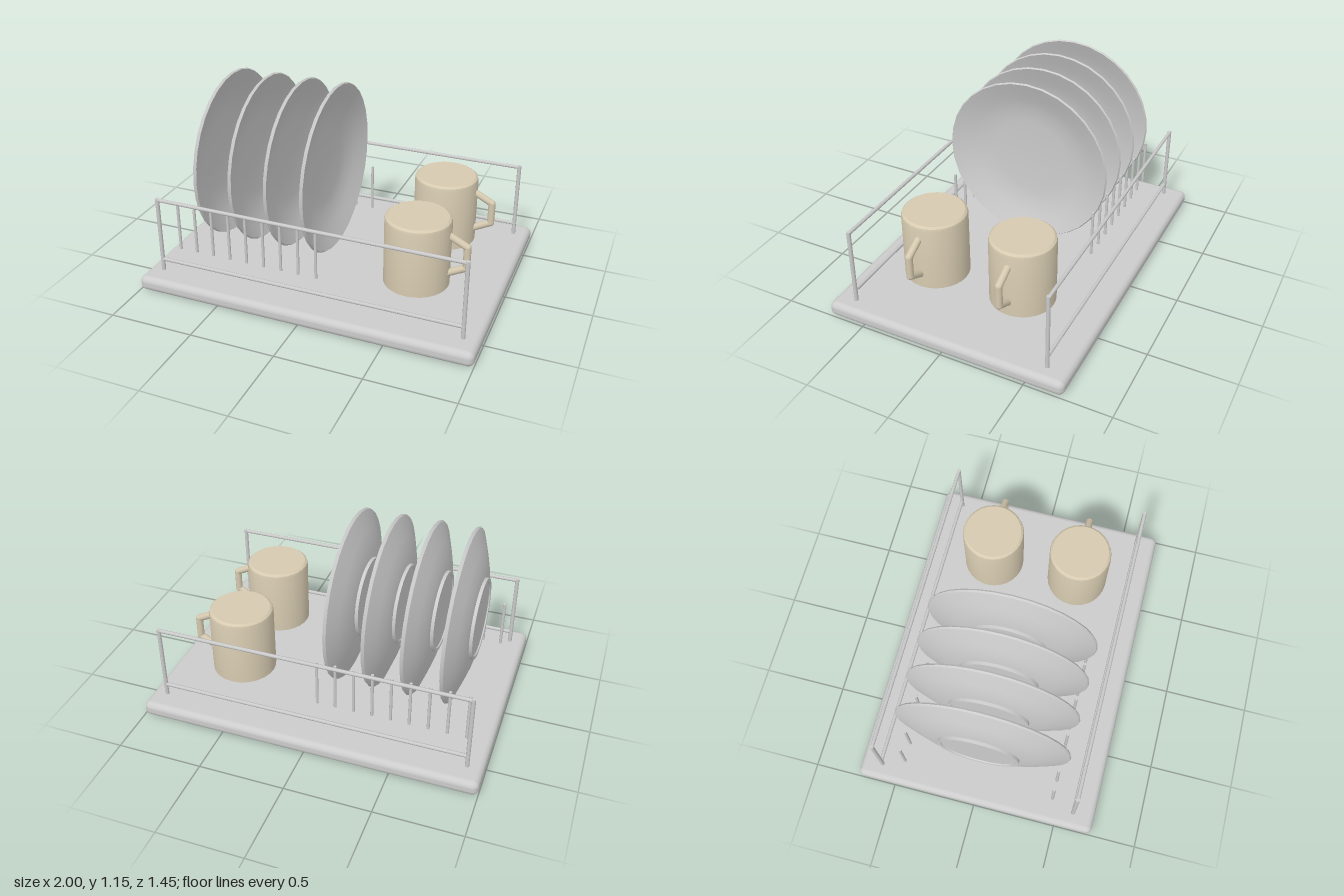
import * as THREE from 'three';
import { toCreasedNormals } from 'three/addons/utils/BufferGeometryUtils.js';
import { RoundedBoxGeometry } from 'three/addons/geometries/RoundedBoxGeometry.js';

const grey = new THREE.MeshStandardMaterial({ color: 0xcccccc });
const cream = new THREE.MeshStandardMaterial({ color: 0xd6cab0 });

function add(parent, name, geometry, material, x = 0, y = 0, z = 0) {
  const mesh = new THREE.Mesh(geometry, material);
  mesh.name = name;
  mesh.position.set(x, y, z);
  parent.add(mesh);
  return mesh;
}

// Straight round wire between two points
function rod(parent, name, from, to, radius, material, sides = 8) {
  const a = new THREE.Vector3(...from), b = new THREE.Vector3(...to);
  const dir = b.clone().sub(a);
  const mesh = add(parent, name, new THREE.CylinderGeometry(radius, radius, dir.length(), sides), material);
  mesh.position.copy(a).add(b).multiplyScalar(0.5);
  mesh.quaternion.setFromUnitVectors(new THREE.Vector3(0, 1, 0), dir.normalize());
  return mesh;
}

function lathe(profile, segments) {
  const points = profile.map(([r, y]) => new THREE.Vector2(r, y));
  return toCreasedNormals(new THREE.LatheGeometry(points, segments), 0.45);
}

// Plate profile: foot, outer curve, rim, then the hollow inside
const plateGeometry = lathe([
  [0, 0.008], [0.21, 0.008], [0.215, 0], [0.232, 0], [0.234, 0.018],
  [0.315, 0.027], [0.395, 0.053], [0.5, 0.092], [0.506, 0.102], [0.5, 0.112],
  [0.44, 0.088], [0.385, 0.067], [0.31, 0.044], [0.23, 0.036], [0, 0.034],
], 32);

// Upside-down mug profile: inside, lip, outer wall, bevelled base
const mugGeometry = lathe([
  [0, 0.38], [0.165, 0.38], [0.167, 0], [0.187, 0], [0.187, 0.385],
  [0.183, 0.4], [0.17, 0.41], [0, 0.41],
], 28);

function createMug(z) {
  const mug = new THREE.Group();
  mug.name = 'mug';
  add(mug, 'mugBody', mugGeometry, cream);
  const path = [[0.17, 0.325, 0], [0.282, 0.268, 0], [0.282, 0.14, 0], [0.17, 0.082, 0]];
  for (let i = 0; i < 3; i++) rod(mug, 'mugHandle', path[i], path[i + 1], 0.021, cream, 10);
  for (const p of path.slice(1, 3)) add(mug, 'handleCorner', new THREE.SphereGeometry(0.021, 10, 8), cream, ...p);
  mug.position.set(0.543, 0.175, z);
  return mug;
}

export function createModel() {
  const model = new THREE.Group();
  model.name = 'dishRack';

  // Drip tray
  add(model, 'tray', new RoundedBoxGeometry(2, 0.09, 1.45, 4, 0.036), grey, 0, 0.045, 0);

  for (const side of [1, -1]) {
    // Side frame of two posts and two rails
    const frame = new THREE.Group();
    frame.name = side > 0 ? 'frontFrame' : 'backFrame';
    model.add(frame);
    const z = side * 0.595;
    for (const x of [-0.908, 0.908]) rod(frame, 'post', [x, 0.085, z], [x, 0.56, z], 0.012, grey);
    for (const y of [0.162, 0.55]) rod(frame, 'rail', [-0.917, y, z], [0.917, y, z], 0.011, grey);

    // Row of upright prongs between the plates
    for (let i = 0; i < 9; i++) {
      const x = -0.868 + i * 0.1095;
      rod(frame, 'prong', [x, 0.163, side * 0.456], [x, 0.455, side * 0.456], 0.009, grey);
    }
    model.add(createMug(side * 0.273));
  }

  // Plates standing on edge, hollow side towards +x
  for (let i = 0; i < 4; i++) {
    add(model, 'plate', plateGeometry, grey, -0.811 + i * 0.218, 0.64, 0).rotation.z = -Math.PI / 2;
  }
  return model;
}
